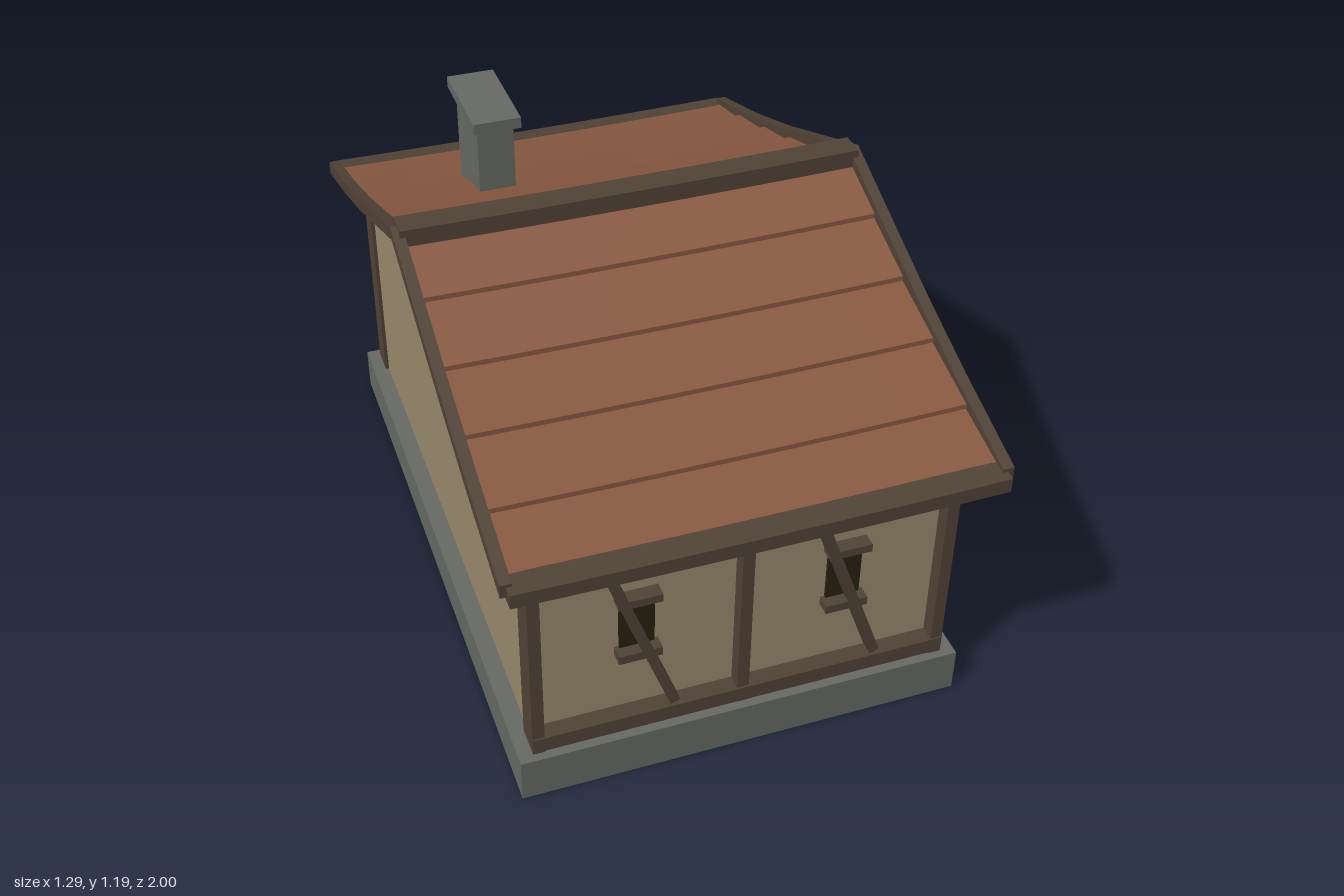
import * as THREE from 'three';

const material = (name, color) => {
  const m = new THREE.MeshStandardMaterial({ color });
  m.name = name;
  return m;
};

export function createModel() {
  const house = new THREE.Group();
  house.name = 'timberHouse';
  const plaster = material('plaster', 0x9a8b6d);
  const wood = material('darkWood', 0x514337);
  const stone = material('greyStone', 0x676a64);
  const tile = material('clayTile', 0x8a5a42);
  const dark = material('darkOpening', 0x26230f);

  const add = (name, geometry, mat) => {
    const mesh = new THREE.Mesh(geometry, mat);
    mesh.name = name;
    house.add(mesh);
    return mesh;
  };

  // Box given by its low and high limits on each axis
  const box = (name, mat, x0, x1, y0, y1, z0, z1) => {
    const mesh = add(name, new THREE.BoxGeometry(x1 - x0, y1 - y0, z1 - z0), mat);
    mesh.position.set((x0 + x1) / 2, (y0 + y1) / 2, (z0 + z1) / 2);
    return mesh;
  };

  // Prism along x from a [z, y] outline, optionally sagging at mid-length
  const prism = (name, mat, outline, x0, x1, sag = 0) => {
    const shape = new THREE.Shape(outline.map(([z, y]) => new THREE.Vector2(z, y)));
    const g = new THREE.ExtrudeGeometry(shape, { depth: x1 - x0, steps: sag ? 8 : 1, bevelEnabled: false });
    g.rotateY(-Math.PI / 2);
    g.translate(x1, 0, 0);
    if (sag) {
      const p = g.attributes.position;
      for (let i = 0; i < p.count; i++) {
        p.setY(i, p.getY(i) - sag * (1 - (p.getX(i) / 0.63) ** 2));
      }
      g.computeVertexNormals();
    }
    return add(name, g, mat);
  };

  // Band hanging below a half profile, mirrored over the ridge
  const roofBand = (half, thick) => {
    const top = [...half.slice(1).reverse().map(([z, y]) => [-z, y]), ...half];
    return [...top, ...top.slice().reverse().map(([z, y]) => [z, y - thick])];
  };

  // Foundation and plastered body with gables
  box('foundation', stone, -0.6, 0.6, 0, 0.127, -0.91, 0.91);
  prism('walls', plaster, [[-0.845, 0.12], [0.845, 0.12], [0.845, 0.75], [0, 1.08], [-0.845, 0.75]], -0.552, 0.552);

  // Timber framing and windows, the same on front and back
  for (const s of [1, -1]) {
    const face = (name, mat, x0, x1, y0, y1, za, zb) =>
      box(name, mat, x0, x1, y0, y1, Math.min(s * za, s * zb), Math.max(s * za, s * zb));
    for (const sx of [1, -1]) {
      face('cornerPost', wood, sx * 0.546 - 0.016, sx * 0.546 + 0.016, 0.125, 0.775, 0.802, 0.888);
    }
    face('middlePost', wood, -0.016, 0.016, 0.125, 0.75, 0.83, 0.886);
    face('sillBeam', wood, -0.56, 0.56, 0.135, 0.18, 0.83, 0.892);
    face('topPlate', wood, -0.56, 0.56, 0.735, 0.775, 0.83, 0.891);

    for (const cx of [-0.276, 0.275]) {
      face('windowOpening', dark, cx - 0.046, cx + 0.046, 0.385, 0.552, 0.84, 0.853);
      face('windowLintel', wood, cx - 0.057, cx + 0.057, 0.548, 0.571, 0.84, 0.884);
      face('windowSill', wood, cx - 0.057, cx + 0.057, 0.366, 0.391, 0.84, 0.884);
      const brace = add('diagonalBrace', new THREE.BoxGeometry(0.027, 0.578, 0.044), wood);
      brace.position.set(cx - 0.006, 0.46, s * 0.865);
      brace.rotation.z = Math.atan2(0.196, 0.545);
    }
  }

  // Gable rafters and concave barge boards at both ends
  const rafter = roofBand([[0, 1.11], [0.86, 0.777]], 0.038);
  const barge = roofBand([[0, 1.167], [0.22, 1.078], [0.46, 0.981], [0.7, 0.895], [0.975, 0.81]], 0.038);
  for (const s of [1, -1]) {
    prism('gableRafter', wood, rafter, s * 0.546 - 0.015, s * 0.546 + 0.015);
    prism('bargeBoard', wood, barge, s * 0.628 - 0.015, s * 0.628 + 0.015);
  }

  // Overlapping tile courses, each lower edge lifted over the next
  const slope = [[0, 1.148], [0.19, 1.064], [0.38, 0.986], [0.57, 0.919], [0.77, 0.854], [0.96, 0.797]];
  for (const s of [1, -1]) {
    for (let i = 0; i < slope.length - 1; i++) {
      const [z0, y0] = slope[i];
      const [z1, y1] = slope[i + 1];
      const course = [[s * z0, y0 - 0.01], [s * z1, y1 + 0.004], [s * z1, y1 - 0.012], [s * z0, y0 - 0.024]];
      prism('tileCourse', tile, course, -0.615, 0.615, 0.006);
    }
    // Eave board under the lowest course
    const a = s * 0.937, b = s * 1.0;
    prism('eaveBoard', wood, [[a, 0.757], [b, 0.757], [b, 0.797], [a, 0.806]], -0.627, 0.627, 0.005);
  }
  prism('ridgeBeam', wood, [[-0.037, 1.115], [0.037, 1.115], [0.037, 1.173], [-0.037, 1.173]], -0.628, 0.628, 0.005);

  // Chimney
  box('chimneyShaft', stone, -0.307, -0.203, 0.85, 1.165, -0.656, -0.425);
  box('chimneyCap', stone, -0.323, -0.188, 1.158, 1.19, -0.69, -0.395);

  // Door on the right-hand gable
  box('doorOpening', dark, 0.54, 0.573, 0.127, 0.59, -0.23, 0.23);
  box('doorPanel', wood, 0.55, 0.58, 0.127, 0.583, -0.155, 0.155);
  for (const s of [1, -1]) {
    box('doorJamb', wood, 0.55, 0.589, 0.127, 0.59, s * 0.228 - 0.022, s * 0.228 + 0.022);
  }
  box('doorLintel', wood, 0.55, 0.594, 0.586, 0.624, -0.27, 0.27);

  return house;
}
